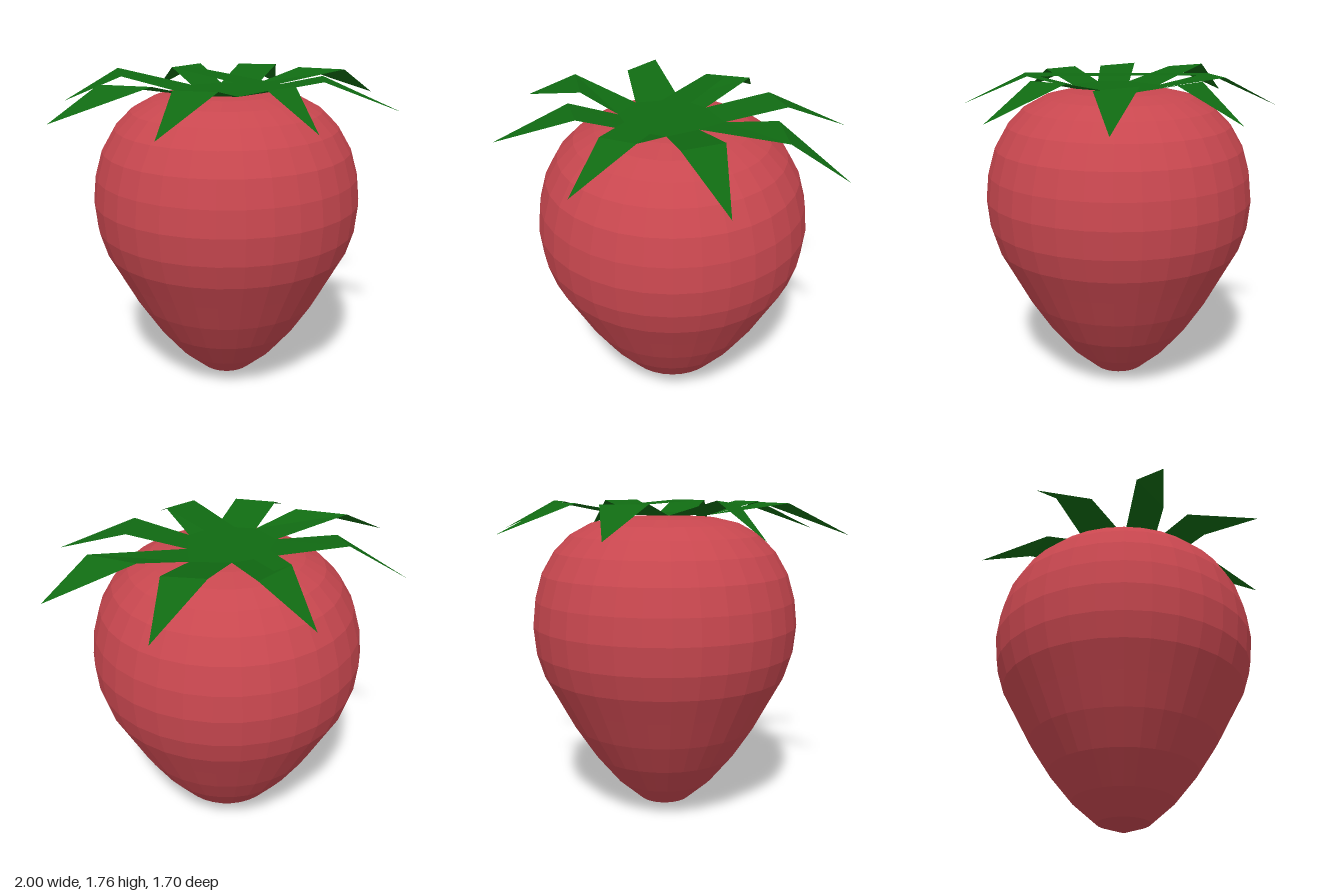
import * as THREE from 'three';

const RED = 0xc8474f;
const GREEN = 0x106a12;

// Faceted fruit: 32-sided lathe, pointed at the base and flat on top
function createBerry() {
  const profile = [
    [0, 0], [0.145, 0.05], [0.28, 0.17], [0.41, 0.33], [0.52, 0.5], [0.605, 0.66],
    [0.68, 0.8], [0.72, 0.93], [0.735, 1.08], [0.72, 1.22], [0.68, 1.36], [0.61, 1.48],
    [0.52, 1.57], [0.41, 1.63], [0.28, 1.66], [0.145, 1.667], [0, 1.67],
  ].map(([r, y]) => new THREE.Vector2(r, y));
  const berry = new THREE.Mesh(
    new THREE.LatheGeometry(profile, 32),
    new THREE.MeshStandardMaterial({ color: RED, flatShading: true }));
  berry.name = 'berry';
  return berry;
}

const leafMaterial = new THREE.MeshStandardMaterial({
  color: GREEN, flatShading: true, side: THREE.DoubleSide,
});

// Mesh from a list of triangles, each three [x, y, z] corners
function triangleMesh(name, triangles) {
  const geometry = new THREE.BufferGeometry();
  geometry.setAttribute('position', new THREE.Float32BufferAttribute(triangles.flat(2), 3));
  geometry.computeVertexNormals();
  const mesh = new THREE.Mesh(geometry, leafMaterial);
  mesh.name = name;
  return mesh;
}

// Leafy crown: a star whose leaves rise to a fold and then droop to a tip
function createCrown() {
  const crown = new THREE.Group();
  crown.name = 'leafCrown';
  const rootY = 1.68, foldY = 1.745, tipY = 1.585;

  // Inner corners between neighbouring leaves [x, z], from the right leaf round to the front
  const roots = [
    [0.26, -0.09], [0.2, 0.06], [0.11, 0.22], [-0.08, 0.26],
    [-0.25, 0.13], [-0.27, -0.05], [-0.1, -0.22], [0.08, -0.2],
  ].map(([x, z]) => [x, rootY, z]);

  // The two fold corners of each leaf [x, z, x, z]
  const folds = [
    [0.55, -0.12, 0.72, 0.09], [0.46, 0.24, 0.33, 0.43],
    [0.12, 0.48, -0.07, 0.52], [-0.29, 0.43, -0.46, 0.28],
    [-0.5, 0.13, -0.7, -0.07], [-0.49, -0.28, -0.43, -0.47],
    [-0.09, -0.48, 0.14, -0.56], [0.33, -0.43, 0.51, -0.3],
  ];

  const center = [0, rootY, 0];
  folds.forEach(([ax, az, bx, bz], i) => {
    const angle = i * Math.PI / 4;
    const r0 = roots[i], r1 = roots[(i + 1) % 8];
    const a = [ax, foldY, az];
    const b = [bx, i === 5 ? foldY + 0.02 : foldY, bz];
    const tip = [Math.cos(angle), tipY, 0.85 * Math.sin(angle)];
    crown.add(triangleMesh('leaf', [
      [center, r1, r0], [r0, r1, b], [r0, b, a], [a, b, tip],
    ]));
  });

  // Raised strip bridging the front and back leaves
  crown.add(triangleMesh('crownBridge', [
    [[0.12, foldY, 0.48], [0.02, foldY, -0.5], [-0.07, foldY, 0.52]],
    [[-0.07, foldY, 0.52], [0.02, foldY, -0.5], [-0.09, foldY, -0.48]],
  ]));
  return crown;
}

export function createModel() {
  const model = new THREE.Group();
  model.name = 'strawberry';
  model.add(createBerry(), createCrown());
  return model;
}
